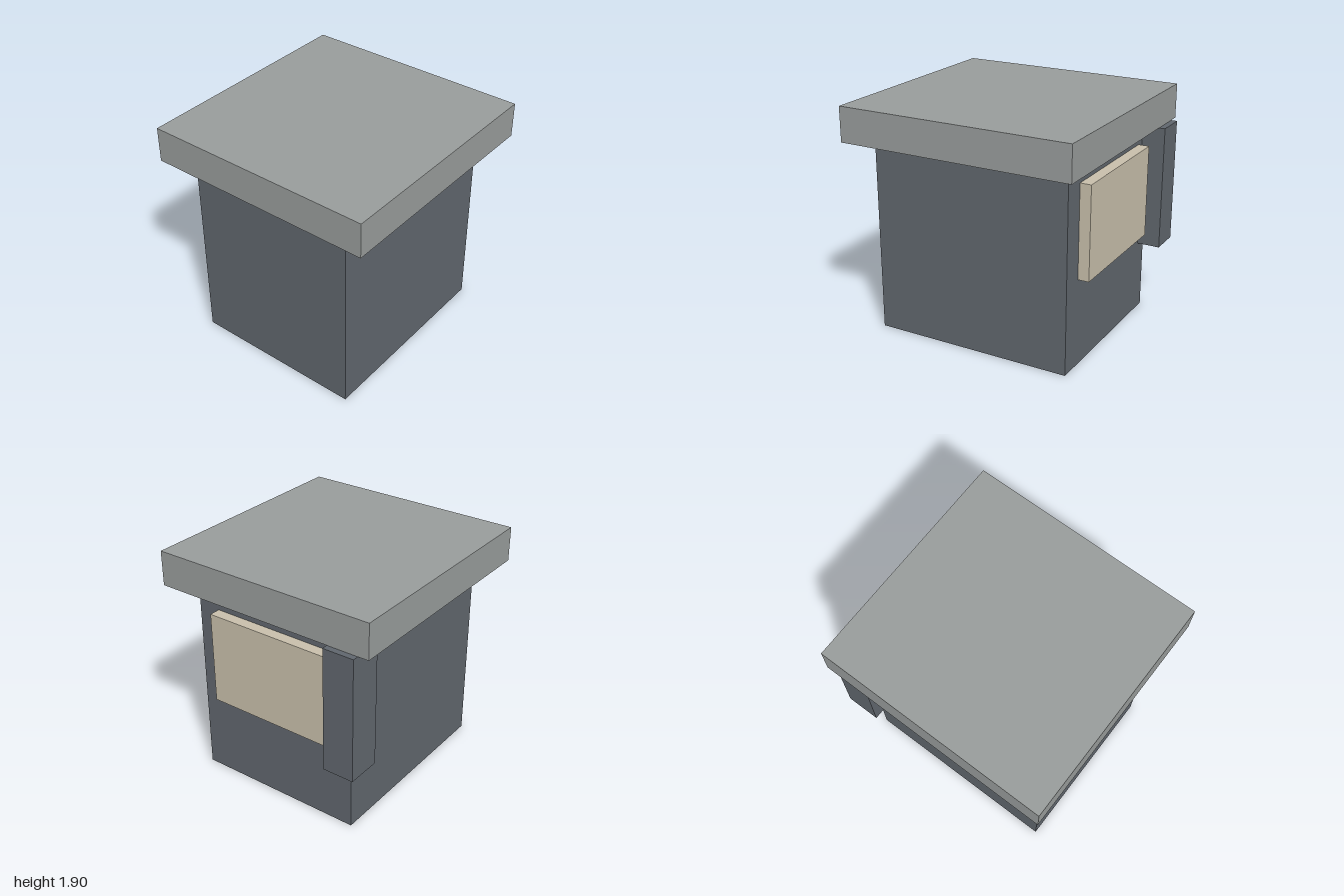
import * as THREE from 'three';

export function createModel() {
  const model = new THREE.Group();
  const mat = (name, color) => {
    const m = new THREE.MeshStandardMaterial({ color });
    m.name = name;
    return m;
  };
  const slate = mat('slate grey', 0x60666d);
  const stone = mat('light grey', 0x989c9b);
  const cream = mat('cream', 0xc8bfab);

  // Adds a box given its [min, max] range on each axis
  const box = (name, material, [x0, x1], [y0, y1], [z0, z1]) => {
    const mesh = new THREE.Mesh(new THREE.BoxGeometry(x1 - x0, y1 - y0, z1 - z0), material);
    mesh.position.set((x0 + x1) / 2, (y0 + y1) / 2, (z0 + z1) / 2);
    mesh.name = name;
    model.add(mesh);
  };

  // Main block and overhanging slab
  box('body', slate, [-0.715, 0.715], [0, 1.62], [-0.81, 0.86]);
  box('roofSlab', stone, [-0.95, 0.95], [1.62, 1.905], [-0.95, 1]);

  // Raised panel on the back, with a post wrapping the corner beside it
  box('backPanel', cream, [-0.53, 0.53], [0.72, 1.48], [-0.9, -0.8]);
  box('cornerPost', slate, [-0.86, -0.6], [0.6, 1.62], [-1, -0.715]);

  return model;
}
